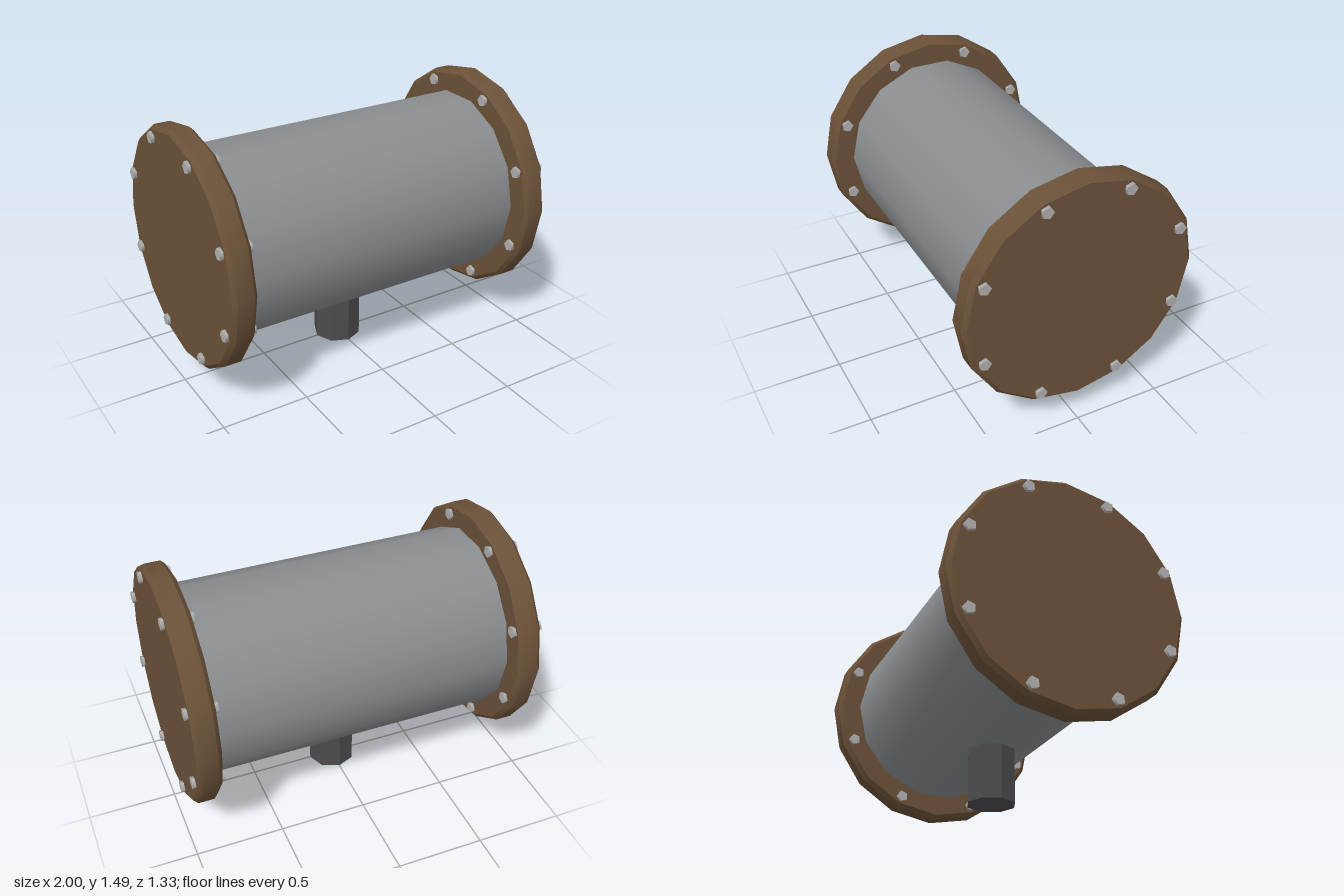
import * as THREE from 'three';
import { toCreasedNormals } from 'three/addons/utils/BufferGeometryUtils.js';

const AXIS_Y = 0.825;

function material(name, color) {
  const m = new THREE.MeshStandardMaterial({ color });
  m.name = name;
  return m;
}

// Turned part lying along x: profile points are [radius, distance along axis].
function turnedAlongX(profile, sides) {
  const points = profile.map(([r, h]) => new THREE.Vector2(r, h));
  const geometry = new THREE.LatheGeometry(points, sides);
  geometry.rotateZ(Math.PI / 2);
  return toCreasedNormals(geometry, 0.6);
}

export function createModel() {
  const model = new THREE.Group();
  model.name = 'flangedTank';
  const steel = material('steel grey', 0x8a8d90);
  const rust = material('rusty brown', 0x6b5138);
  const bolt = material('bolt grey', 0xb0b0b0);
  const dark = material('dark grey', 0x4c4b4f);

  const add = (parent, name, geometry, mat, x = 0, y = 0, z = 0) => {
    const mesh = new THREE.Mesh(geometry, mat);
    mesh.name = name;
    mesh.position.set(x, y, z);
    parent.add(mesh);
    return mesh;
  };

  // Barrel, ending inside the flanges
  add(model, 'barrel', turnedAlongX([[0.53, -0.93], [0.53, 0.93]], 14), steel, 0, AXIS_Y);

  // Outlet stem under the barrel
  const stem = new THREE.CylinderGeometry(0.138, 0.138, 0.42, 8).toNonIndexed();
  stem.computeVertexNormals();
  add(model, 'outletStem', stem, dark, 0, 0.21);

  // Chamfered end flanges, each with a ring of bolts passing through
  const flangeGeometry = turnedAlongX([
    [0, -0.068], [0.643, -0.068], [0.666, -0.045],
    [0.666, 0.045], [0.643, 0.068], [0, 0.068],
  ], 16);
  const boltGeometry = new THREE.CylinderGeometry(0.034, 0.034, 0.174, 5, 1, false, Math.PI);
  boltGeometry.rotateZ(Math.PI / 2);

  for (const side of [-1, 1]) {
    const end = new THREE.Group();
    end.name = side > 0 ? 'leftEnd' : 'rightEnd';
    end.position.set(side * 0.912, AXIS_Y, 0);
    add(end, 'flange', flangeGeometry, rust);
    for (let i = 0; i < 8; i++) {
      const a = (i + 0.5) * Math.PI / 4;
      add(end, 'bolt', boltGeometry, bolt, 0, 0.6 * Math.sin(a), 0.6 * Math.cos(a));
    }
    model.add(end);
  }
  return model;
}
